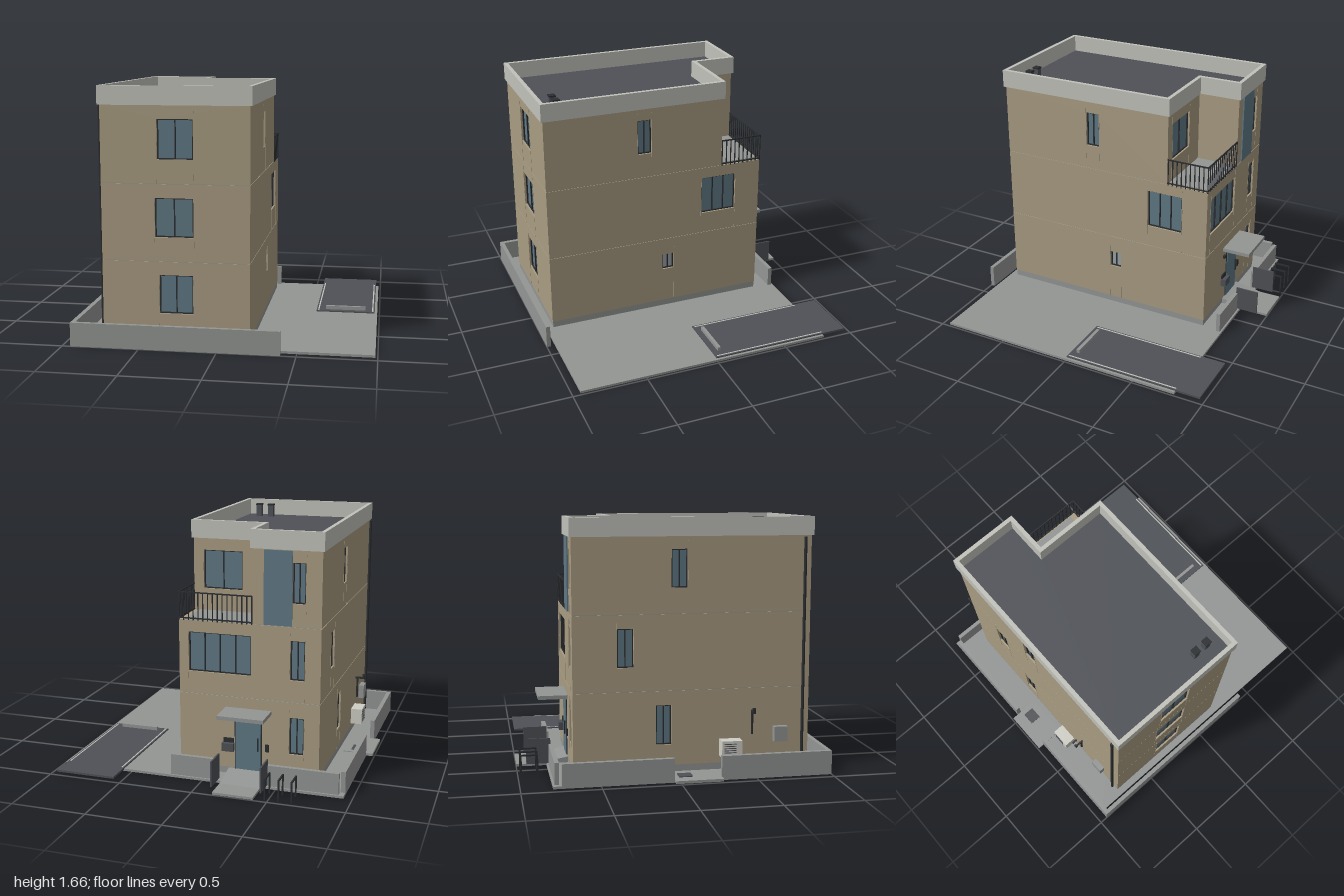
import * as THREE from 'three';

const mat = (name, color) => {
  const m = new THREE.MeshStandardMaterial({ color });
  m.name = name;
  return m;
};

export function createModel() {
  const wall = mat('beigeWall', 0xa99c82);
  const concrete = mat('concrete', 0x939694);
  const coping = mat('paleCoping', 0xc2c2bb);
  const dark = mat('darkSurface', 0x4e5156);
  const frame = mat('blackMetal', 0x2b2e31);
  const glass = mat('blueGlass', 0x607985);
  const frosted = mat('frostedGlass', 0x98a2a4);
  const white = mat('offWhite', 0xcfcec6);

  const root = new THREE.Group();
  root.name = 'house';

  // Box given by its extents on each axis
  const box = (name, m, x0, x1, y0, y1, z0, z1, parent = root) => {
    const mesh = new THREE.Mesh(new THREE.BoxGeometry(x1 - x0, y1 - y0, z1 - z0), m);
    mesh.position.set((x0 + x1) / 2, (y0 + y1) / 2, (z0 + z1) / 2);
    mesh.name = name;
    parent.add(mesh);
    return mesh;
  };

  // Window set back in its opening: glass, border and mullions
  const addWindow = (parent, [u0, u1, y0, y1, panes, pane = glass]) => {
    const g = new THREE.Group();
    g.name = 'window';
    const t = 0.007, z0 = -0.03, z1 = -0.012;
    box('pane', pane, u0, u1, y0, y1, -0.03, -0.022, g);
    box('sill', frame, u0, u1, y0, y0 + t, z0, z1, g);
    box('head', frame, u0, u1, y1 - t, y1, z0, z1, g);
    for (let i = 0; i <= panes; i++) {
      const u = u0 + t / 2 + ((u1 - u0 - t) * i) / panes;
      box('mullion', frame, u - t / 2, u + t / 2, y0, y1, z0, z1, g);
    }
    parent.add(g);
  };

  // One storey of a facade; local x runs along the wall, local z points outward
  const T = 0.04;
  const facade = (name, x, z, turn, u0, u1, y0, y1, windows = []) => {
    const g = new THREE.Group();
    g.name = name;
    g.position.set(x, 0, z);
    g.rotation.y = (turn * Math.PI) / 2;
    const rect = (P, a, b, c, d) => {
      const p = new P();
      p.moveTo(a, c); p.lineTo(b, c); p.lineTo(b, d); p.lineTo(a, d); p.closePath();
      return p;
    };
    const shape = rect(THREE.Shape, u0, u1, y0, y1);
    for (const w of windows) {
      shape.holes.push(rect(THREE.Path, w[0], w[1], w[2], w[3]));
      addWindow(g, w);
      // Slim joints beside each opening
      for (const [u, s] of [[w[0], -1], [w[1], 1]]) {
        const c = u + s * 0.003;
        box('joint', wall, c - 0.0015, c + 0.0015, y0, w[3] + 0.05, -0.001, 0.0015, g);
      }
    }
    const geo = new THREE.ExtrudeGeometry(shape, { depth: T, bevelEnabled: false });
    geo.translate(0, 0, -T);
    const mesh = new THREE.Mesh(geo, wall);
    mesh.name = 'wallPanel';
    g.add(mesh);
    root.add(g);
  };

  const X0 = -0.75, X1 = 0.2, Z0 = -0.655, Z1 = 0.9, NX = -0.3, NZ = -0.36;
  const S = [[0.065, 0.553], [0.557, 1.048], [1.052, 1.54]];

  // Facade storeys with their windows [start, end, bottom, top, panes]
  const front = [[-0.38, -0.163, 0.217, 0.467, 2], [-0.405, -0.158, 0.71, 0.96, 2], [-0.387, -0.158, 1.203, 1.455, 2]];
  const east = [[-0.08, 0.005, 0.315, 0.432, 2, frosted], [0.214, 0.47, 0.705, 0.972, 3], [-0.257, -0.16, 1.218, 1.458, 2]];
  const west = [[-0.12, -0.02, 0.2, 0.46, 2], [-0.37, -0.265, 0.71, 0.96, 2], [-0.02, 0.085, 1.215, 1.46, 2]];
  const back = [[[0.55, 0.645, 0.2, 0.45, 2]],
    [[-0.135, 0.29, 0.705, 0.97, 4], [0.55, 0.645, 0.7, 0.96, 2]],
    [[0.56, 0.645, 1.2, 1.46, 2]]];
  S.forEach(([a, b], i) => {
    const top = i === 2;
    facade('frontWall', 0, Z1, 0, X0, X1, a, b, [front[i]]);
    facade('leftWall', X1, 0, 1, -Z1, top ? -NZ : -Z0, a, b, [east[i]]);
    facade('rightWall', X0, 0, -1, Z0, Z1, a, b, [west[i]]);
    facade('backWall', 0, Z0, 2, top ? -NX : -X1, -X0, a, b, back[i]);
  });
  facade('terraceBackWall', 0, NZ, 2, -X1, -NX, S[2][0], S[2][1], [[-0.13, 0.14, 1.2, 1.46, 2]]);
  facade('terraceSideWall', NX, 0, 1, -NZ, -Z0, S[2][0], S[2][1]);

  // Plinth and floor slabs showing in the storey joints
  box('plinth', concrete, X0 + 0.003, X1 - 0.003, 0.015, 0.067, Z0 + 0.003, Z1 - 0.003);
  box('floorSlab', concrete, X0 + 0.004, X1 - 0.004, 0.545, 0.565, Z0 + 0.004, Z1 - 0.004);
  box('floorSlab', concrete, X0 + 0.004, X1 - 0.004, 1.03, 1.046, Z0 + 0.004, Z1 - 0.004);
  box('floorSlab', concrete, X0 + 0.004, X1 - 0.004, 1.046, 1.054, NZ + 0.004, Z1 - 0.004);
  box('floorSlab', concrete, X0 + 0.004, NX - 0.004, 1.046, 1.054, Z0 + 0.004, NZ + 0.01);
  box('terraceFloor', concrete, NX, X1 - T, 1.03, 1.052, Z0 + 0.01, NZ);

  // L-shaped roof deck and parapet
  const outline = (P, o) => {
    const pts = [[X0 - o, -Z1 - o], [X1 + o, -Z1 - o], [X1 + o, -NZ + o],
      [NX + o, -NZ + o], [NX + o, -Z0 + o], [X0 - o, -Z0 + o]];
    return new P(pts.map(([x, y]) => new THREE.Vector2(x, y)));
  };
  const slab = (name, m, shape, y, depth) => {
    const geo = new THREE.ExtrudeGeometry(shape, { depth, bevelEnabled: false });
    geo.rotateX(-Math.PI / 2);
    const mesh = new THREE.Mesh(geo, m);
    mesh.position.y = y;
    mesh.name = name;
    root.add(mesh);
  };
  const ring = outline(THREE.Shape, 0.013);
  ring.holes.push(outline(THREE.Path, -0.014));
  slab('parapet', coping, ring, 1.54, 0.12);
  slab('roofDeck', dark, outline(THREE.Shape, -0.01), 1.525, 0.02);
  for (const x of [-0.01, 0.08]) {
    box('roofVent', dark, x - 0.02, x + 0.02, 1.54, 1.63, 0.755, 0.795);
    box('ventCap', frame, x - 0.023, x + 0.023, 1.63, 1.64, 0.752, 0.798);
  }

  // Terrace railing
  const rail = new THREE.Group();
  rail.name = 'terraceRailing';
  root.add(rail);
  const r = 0.004;
  for (const y of [1.06, 1.23]) {
    box('railBack', frame, NX, X1 + r, y - r, y + r, Z0 - r, Z0 + r, rail);
    box('railSide', frame, X1 - r, X1 + r, y - r, y + r, Z0, NZ, rail);
  }
  for (let i = 0; i <= 15; i++) {
    const x = NX + 0.005 + (0.495 * i) / 15;
    box('baluster', frame, x - 0.003, x + 0.003, 1.045, 1.23, Z0 - 0.003, Z0 + 0.003, rail);
  }
  for (let i = 1; i <= 9; i++) {
    const z = Z0 + (0.29 * i) / 9;
    box('baluster', frame, X1 - 0.003, X1 + 0.003, 1.045, 1.23, z - 0.003, z + 0.003, rail);
  }

  // Tall glazed panel, entrance door and its fittings
  box('tallGlassPanel', glass, -0.56, -0.375, 1.055, 1.535, Z0 - 0.009, Z0);
  box('doorFrame', frame, -0.368, -0.182, 0.06, 0.447, Z0 - 0.004, Z0);
  box('door', glass, -0.36, -0.19, 0.062, 0.44, Z0 - 0.008, Z0);
  box('doorHandle', frame, -0.345, -0.338, 0.2, 0.29, Z0 - 0.018, Z0 - 0.008);
  box('canopy', concrete, -0.43, -0.12, 0.457, 0.482, -0.85, Z0);
  box('mailbox', dark, -0.18, -0.1, 0.185, 0.24, -0.692, Z0);
  box('mailboxBack', frame, -0.175, -0.105, 0.2, 0.27, -0.665, Z0);
  box('intercom', frame, -0.415, -0.39, 0.2, 0.25, -0.664, Z0);
  box('doorLamp', frame, -0.15, -0.12, 0.4, 0.42, -0.67, Z0);

  // Ground, sloping entrance path and boundary walls
  box('groundSlab', concrete, -0.945, 0.985, 0.004, 0.02, -0.8, 0.945);
  box('frontPath', concrete, -0.41, -0.14, 0.008, 0.024, -1.0, -0.8);
  const ramp = new THREE.Shape([[0.655, 0.01], [0.85, 0.01], [0.85, 0.024], [0.655, 0.06]]
    .map(([a, b]) => new THREE.Vector2(a, b)));
  const rampGeo = new THREE.ExtrudeGeometry(ramp, { depth: 0.27, bevelEnabled: false });
  rampGeo.rotateY(Math.PI / 2);
  rampGeo.translate(-0.41, 0, 0);
  const rampMesh = new THREE.Mesh(rampGeo, concrete);
  rampMesh.name = 'entranceRamp';
  root.add(rampMesh);
  box('frontBoundaryWall', concrete, -0.945, 0.4, 0.004, 0.16, 0.972, 1.0);
  box('sideBoundaryWall', concrete, -0.945, -0.915, 0.004, 0.16, 0.27, 0.972);
  box('sideBoundaryWall', concrete, -0.945, -0.915, 0.004, 0.16, -0.745, -0.035);
  box('backBoundaryWall', concrete, -0.91, -0.44, 0.01, 0.16, -0.788, -0.76);
  box('backBoundaryWall', concrete, -0.1, 0.22, 0.01, 0.16, -0.788, -0.76);
  for (const x of [-0.44, -0.11]) box('gateLeaf', dark, x - 0.005, x + 0.005, 0.03, 0.2, -0.935, -0.775);

  // Cycle hoops
  for (const x of [-0.655, -0.57, -0.482]) {
    const g = new THREE.Group();
    g.name = 'cycleHoop';
    root.add(g);
    for (const z of [-0.98, -0.875]) box('post', frame, x - 0.005, x + 0.005, 0.01, 0.15, z - 0.005, z + 0.005, g);
    box('topBar', frame, x - 0.005, x + 0.005, 0.142, 0.152, -0.985, -0.87, g);
  }

  // Parking bay with edge lines and wheel stop
  box('parkingBay', dark, 0.555, 0.967, 0.014, 0.028, -0.97, 0);
  box('bayLine', coping, 0.565, 0.574, 0.027, 0.03, -0.8, -0.01);
  box('bayLine', coping, 0.948, 0.957, 0.027, 0.03, -0.8, -0.01);
  box('wheelStop', concrete, 0.62, 0.9, 0.028, 0.053, -0.06, -0.038);

  // Service pad, lid and equipment along the side wall
  box('servicePad', concrete, -0.99, -0.785, 0.008, 0.026, -0.035, 0.272);
  box('serviceLid', dark, -0.91, -0.832, 0.026, 0.031, 0, 0.09);
  box('airConditioner', white, -0.845, -0.765, 0.115, 0.227, 0.295, 0.43);
  for (let i = 0; i < 6; i++) {
    const y = 0.135 + i * 0.014;
    box('grilleSlat', dark, -0.848, -0.845, y, y + 0.005, 0.31, 0.39);
  }
  box('coolantPipe', frame, -0.79, X0, 0.15, 0.16, 0.43, 0.442);
  box('meterBox', concrete, -0.788, X0, 0.195, 0.295, 0.66, 0.75);
  box('lampArm', frame, -0.815, X0, 0.395, 0.408, 0.509, 0.521);
  box('lampHead', frame, -0.82, -0.803, 0.395, 0.43, 0.506, 0.524);
  box('lampConduit', frame, -0.77, -0.758, 0.25, 0.4, 0.509, 0.521);

  const pipe = new THREE.Mesh(new THREE.CylinderGeometry(0.01, 0.01, 1.48, 12), frame);
  pipe.position.set(-0.765, 0.79, 0.855);
  pipe.name = 'downpipe';
  root.add(pipe);

  return root;
}
